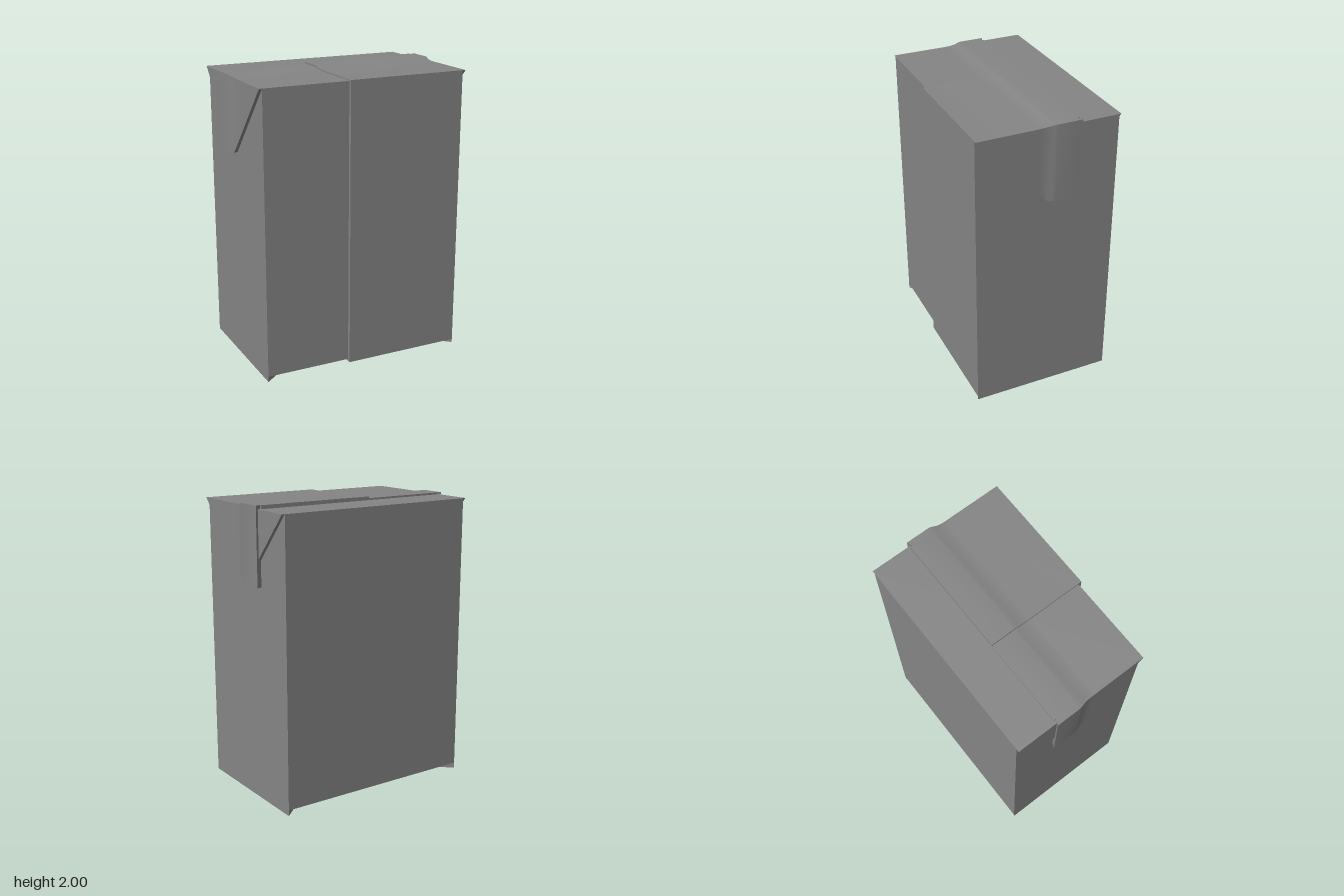
import * as THREE from 'three';
import { toCreasedNormals } from 'three/addons/utils/BufferGeometryUtils.js';

const material = new THREE.MeshStandardMaterial({ color: 0x858585 });
const L = 0.714;       // half length of the carton
const W = 0.488;       // half depth
const SEAM = -0.12;    // where the overlapping sheet ends

// Folded seam across the carton: z, share of its height, reach at the ends
const RIDGE = [
  [-0.21, 1, 0.753], [-0.04, 1, 0.753], [-0.02, 0.85, 0.749],
  [0.01, 0.4, 0.739], [0.05, 0.08, 0.735], [0.08, 0, 0.735],
];

const extrude = (points, depth) => new THREE.ExtrudeGeometry(
  new THREE.Shape(points.map(([x, y]) => new THREE.Vector2(x, y))),
  { depth, bevelEnabled: false });

// Prism along x from a [z, y] section
const alongX = (section, x0, x1) =>
  extrude(section.map(([z, y]) => [-z, y]), x1 - x0).rotateY(Math.PI / 2).translate(x0, 0, 0);

// Prism along y from an [x, z] section
const alongY = (section, y0, y1) =>
  extrude(section.map(([x, z]) => [x, -z]), y1 - y0).rotateX(-Math.PI / 2).translate(0, y0, 0);

// Closed skin over a row of four-cornered sections
function loft(sections) {
  const positions = [];
  const quad = (a, b, c, d) => positions.push(...a, ...b, ...c, ...a, ...c, ...d);
  quad(...sections[0]);
  quad(...[...sections.at(-1)].reverse());
  for (let i = 0; i < sections.length - 1; i++) {
    const a = sections[i], b = sections[i + 1];
    for (let k = 0; k < 4; k++) {
      const n = (k + 1) % 4;
      quad(a[k], b[k], b[n], a[n]);
    }
  }
  const geometry = new THREE.BufferGeometry();
  geometry.setAttribute('position', new THREE.Float32BufferAttribute(positions, 3));
  return geometry;
}

// Ear and doubled seam folded down over an end wall, narrowing to the front corner
function earGeometry(side, front, base, rise) {
  const sections = [...RIDGE, [front, 0, 0.735]].map(([z, share, reach], i) => {
    const top = base + share * rise;
    const slope = Math.max(0, (z - 0.01) / (front - 0.01));
    const bottom = THREE.MathUtils.lerp(1.475, base - 0.004, slope);
    const innerZ = i === 0 ? z + 0.018 : z;
    const section = [
      [side * L, bottom, innerZ], [side * L, top, innerZ],
      [side * reach, top, z], [side * reach, bottom, z],
    ];
    return side > 0 ? section : section.reverse();
  });
  return loft(sections);
}

export function createModel() {
  const model = new THREE.Group();
  const carton = new THREE.Group();
  carton.name = 'carton';
  carton.rotation.y = THREE.MathUtils.degToRad(-18.3);
  model.add(carton);

  const add = (name, geometry) => {
    const mesh = new THREE.Mesh(toCreasedNormals(geometry, 0.5), material);
    mesh.name = name;
    carton.add(mesh);
  };
  const ridgeLine = (base, rise) => RIDGE.map(([z, share]) => [z, base + share * rise]);

  // Main box
  add('body', alongX([[-W, 0.04], [0.465, 0.04], [0.465, 1.975], [-W, 1.975]], -L, L));

  // Sheet overlapping the front, the top and half of the base
  add('overlapSheet', alongX([
    [-0.21, 1.96], ...ridgeLine(1.984, 0.016),
    [W, 1.984], [W, 0.025], [0, 0.025], [0, 0.06], [0.45, 0.06], [0.45, 1.96],
  ], SEAM, L));

  // Folded top seam on the uncovered half
  add('topSeam', alongX([[-0.21, 1.96], ...ridgeLine(1.975, 0.013), [0.08, 1.96]], -L, SEAM));

  for (const side of [-1, 1]) {
    const name = side > 0 ? 'left' : 'right';
    const front = side > 0 ? W : 0.465;
    const ends = [side * L, side * 0.735].sort((a, b) => a - b);

    add(name + 'Ear', side > 0
      ? earGeometry(side, front, 1.984, 0.016)
      : earGeometry(side, front, 1.975, 0.013));

    // Back half of the ear, tucked behind the seam
    add(name + 'EarBack', alongX([[-W, 1.975], [-0.15, 1.602], [-0.15, 1.975]], ...ends));

    // Triangular flap folded under the base
    add(name + 'BaseFlap', alongY([
      [side * L, -W], [side * L, front], [side * 0.2, 0.025], [side * 0.2, -0.025],
    ], 0, 0.045));
  }
  return model;
}
